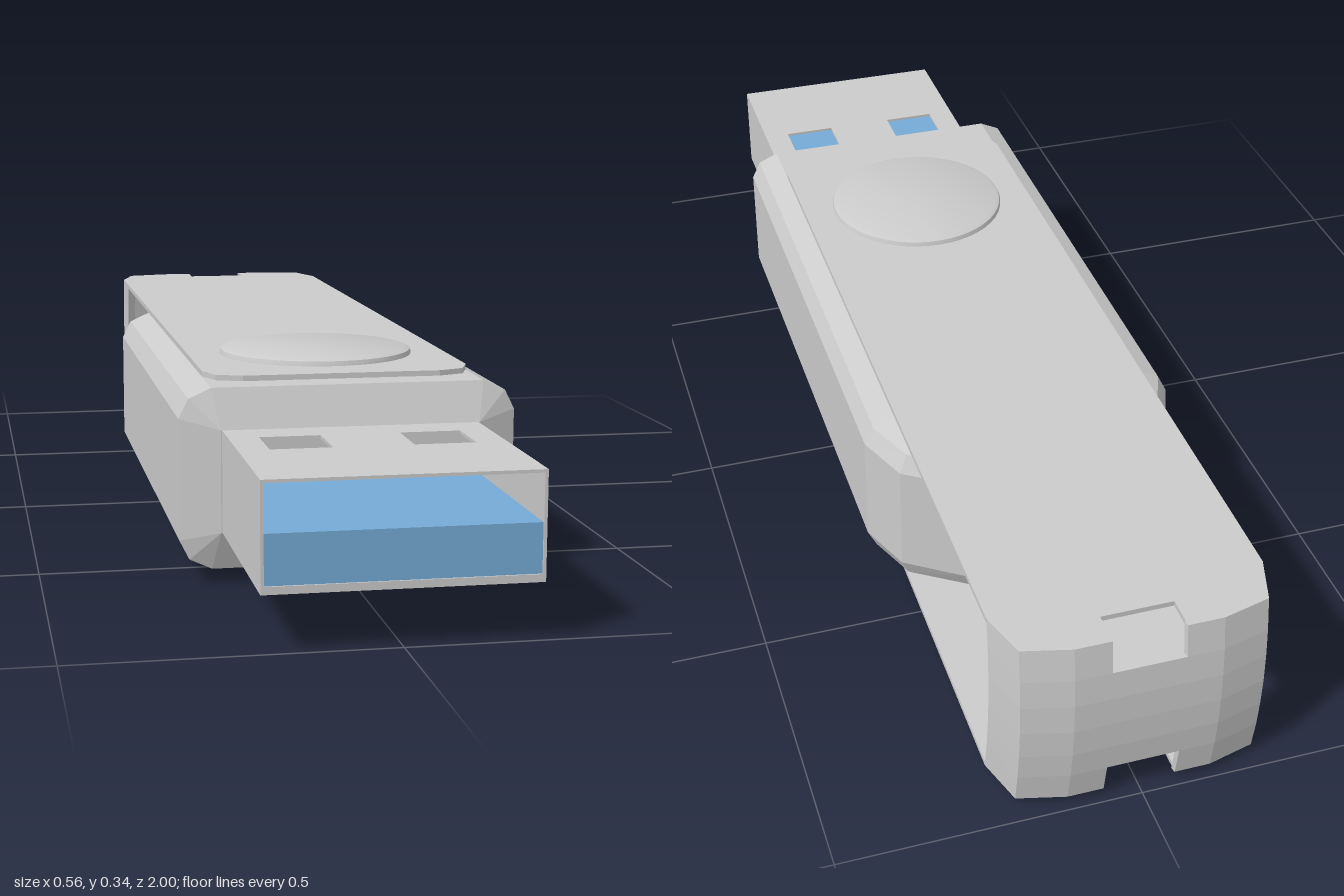
import * as THREE from 'three';
import { toCreasedNormals } from 'three/addons/utils/BufferGeometryUtils.js';

const grey = new THREE.MeshStandardMaterial({ color: 0xcccccc });
const flatGrey = new THREE.MeshStandardMaterial({ color: 0xcccccc, flatShading: true });
const blue = new THREE.MeshStandardMaterial({ color: 0x75abd6 });
const MID = 0.172; // height of the horizontal symmetry plane

function mesh(name, geometry, material = grey) {
  const m = new THREE.Mesh(geometry, material);
  m.name = name;
  return m;
}

// Collects quads (corners counter-clockwise from outside) into a flat geometry
function quadBuilder() {
  const pos = [];
  return {
    quad(a, b, c, d) { pos.push(...a, ...b, ...c, ...a, ...c, ...d); },
    build() {
      const g = new THREE.BufferGeometry();
      g.setAttribute('position', new THREE.Float32BufferAttribute(pos, 3));
      g.computeVertexNormals();
      return g;
    },
  };
}

// Box given by its limits
function boxAt(name, x0, x1, y0, y1, z0, z1, material) {
  const m = mesh(name, new THREE.BoxGeometry(x1 - x0, y1 - y0, z1 - z0), material);
  m.position.set((x0 + x1) / 2, (y0 + y1) / 2, (z0 + z1) / 2);
  return m;
}

// Horizontal slab from a shape drawn in (x, z)
function slab(name, shape, yTop, thickness) {
  const g = new THREE.ExtrudeGeometry(shape, { depth: thickness, bevelEnabled: false });
  g.rotateX(Math.PI / 2);
  g.translate(0, yTop, 0);
  return mesh(name, g);
}

function outline(points) {
  return new THREE.Shape(points.map(([x, z]) => new THREE.Vector2(x, z)));
}

// Body: stacked plan outlines with a rounded rear and a front tapering to the plug
function makeBody() {
  const layers = [[0.023, 0.053], [0.04, 0.016], [0.072, 0], [0.272, 0], [0.304, 0.016], [0.321, 0.053]];
  const rings = layers.map(([y, inset]) => {
    const w = 0.278 - inset;
    const yf = THREE.MathUtils.clamp(y, 0.088, 0.256);
    const ring = [[0.213, yf, 0.625], [w, y, 0.6]];
    for (let k = 0; k <= 6; k++) {
      const a = (k * Math.PI) / 6;
      ring.push([w * Math.cos(a), y, -0.35 - (0.19 - inset) * Math.sin(a)]);
    }
    ring.push([-w, y, 0.6], [-0.213, yf, 0.625]);
    return ring;
  });
  const q = quadBuilder();
  const n = rings[0].length;
  for (let j = 0; j < rings.length - 1; j++) {
    for (let i = 0; i < n; i++) {
      const k = (i + 1) % n;
      q.quad(rings[j][i], rings[j][k], rings[j + 1][k], rings[j + 1][i]);
    }
  }
  // top and bottom, bridged from side to side
  const low = rings[0], high = rings[rings.length - 1];
  for (let i = 0; i < (n - 1) / 2; i++) {
    q.quad(high[i], high[i + 1], high[n - 2 - i], high[n - 1 - i]);
    q.quad(low[n - 1 - i], low[n - 2 - i], low[i + 1], low[i]);
  }
  return mesh('body', q.build(), flatGrey);
}

// Plug: hollow metal sleeve with two square windows and a coloured tongue
function makeConnector() {
  const g = new THREE.Group();
  g.name = 'connector';
  const z0 = 0.615, z1 = 1, w = 0.211, t = 0.005;
  const top = outline([[-w, z0], [w, z0], [w, z1], [-w, z1]]);
  for (const s of [-1, 1]) {
    const cx = s * 0.113, r = 0.049;
    top.holes.push(new THREE.Path([[-r, -r], [-r, r], [r, r], [r, -r]]
      .map(([x, z]) => new THREE.Vector2(cx + x, 0.74 + z))));
    g.add(boxAt('sleeveSide', s * w - (s > 0 ? t : 0), s * w + (s > 0 ? 0 : t), 0.088, 0.256 - t, z0, z1));
  }
  g.add(slab('sleeveTop', top, 0.256, t));
  g.add(boxAt('sleeveBottom', -w + t, w - t, 0.088, 0.1, z0, z1));
  g.add(boxAt('tongue', -w + t, w - t, 0.1, 0.177, z0, 0.997, blue));
  return g;
}

// Rear wall of the cover: a bowed, faceted strip with a notch at top and bottom
function makeCoverEnd() {
  const cols = [[0.225, -0.885], [0.2, -0.965], [0.12, -0.985], [0.06, -0.985],
    [-0.06, -0.985], [-0.12, -0.985], [-0.2, -0.965], [-0.225, -0.885]];
  const rows = [0.013, 0.07, 0.12, MID, 0.224, 0.274, 0.331];
  const point = (i, j, depth) => {
    const [x, z] = cols[i];
    const bow = 0.015 * (1 - ((rows[j] - MID) / 0.159) ** 2);
    return [x * (1 - depth / 0.225), rows[j], z - bow + depth];
  };
  const lastRow = rows.length - 2, lastCol = cols.length - 2;
  const solid = (i, j) => i >= 0 && i <= lastCol && j >= 0 && j <= lastRow
    && !(i === 3 && (j === 0 || j === lastRow));
  const q = quadBuilder();
  for (let i = 0; i <= lastCol; i++) {
    for (let j = 0; j <= lastRow; j++) {
      if (!solid(i, j)) continue;
      const corners = [[i, j], [i + 1, j], [i + 1, j + 1], [i, j + 1]];
      const out = corners.map(([a, b]) => point(a, b, 0));
      const inn = corners.map(([a, b]) => point(a, b, 0.009));
      q.quad(...out);
      q.quad(inn[3], inn[2], inn[1], inn[0]);
      // close the rim wherever there is no neighbour
      [[0, -1], [1, 0], [0, 1], [-1, 0]].forEach(([di, dj], e) => {
        if (solid(i + di, j + dj)) return;
        const f = (e + 1) % 4;
        q.quad(out[e], inn[e], inn[f], out[f]);
      });
    }
  }
  return mesh('coverEnd', q.build(), flatGrey);
}

// Swivel cover: two long plates joined by the rear wall
function makeCover() {
  const g = new THREE.Group();
  g.name = 'swivelCover';
  const half = [[0.06, -0.93], [0.06, -0.985], [0.12, -0.985], [0.2, -0.965], [0.225, -0.885],
    [0.225, 0.49], [0.208, 0.533], [0.165, 0.55]];
  const plate = outline([...half, ...half.map(([x, z]) => [-x, z]).reverse()]);
  g.add(slab('topPlate', plate, 0.331, 0.009));
  g.add(slab('bottomPlate', plate, 0.022, 0.009));
  g.add(makeCoverEnd());
  return g;
}

// Pivot cap: low disc with a softened rim, mirrored below
function makePivot(name, side) {
  const profile = [[0, 0.145], [0.168, 0.145], [0.168, 0.164], [0.166, 0.168], [0.159, 0.171], [0, 0.171]]
    .map(([r, y]) => new THREE.Vector2(r, y));
  const m = mesh(name, toCreasedNormals(new THREE.LatheGeometry(profile, 48), 0.6));
  m.position.set(0, MID - 0.001, 0.31);
  if (side < 0) m.rotation.x = Math.PI;
  return m;
}

export function createModel() {
  const model = new THREE.Group();
  model.name = 'usbStick';
  model.add(makeBody(), makeConnector(), makeCover(),
    makePivot('topPivot', 1), makePivot('bottomPivot', -1));
  return model;
}
